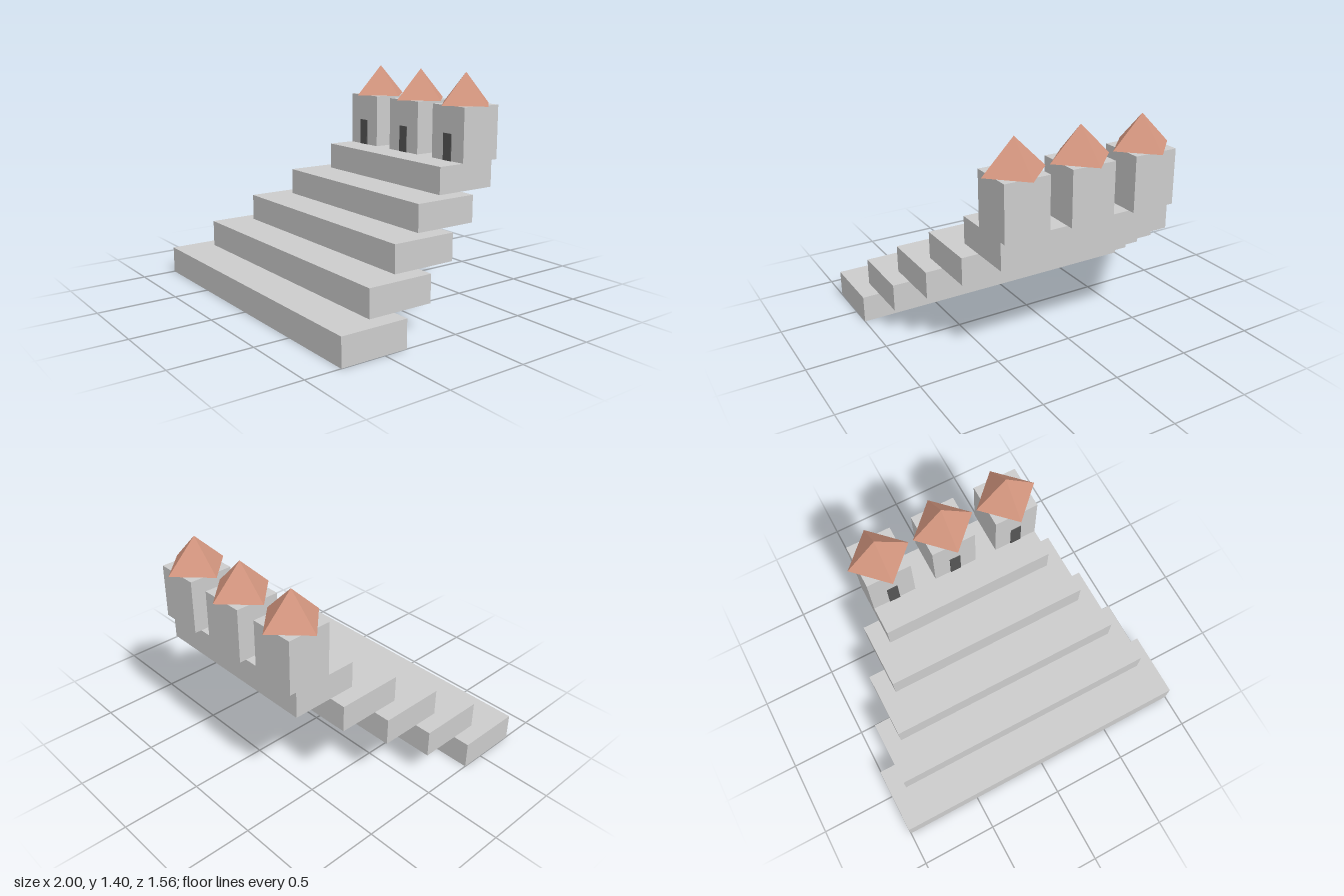
import * as THREE from 'three';

const stone = new THREE.MeshStandardMaterial({ color: 0xcccccc, flatShading: true });
const tile = new THREE.MeshStandardMaterial({ color: 0xd4967f, flatShading: true });
const dark = new THREE.MeshStandardMaterial({ color: 0x555555, flatShading: true });

// Box standing on y, centred on x and z
function box(name, [w, h, d], [x, y, z], material) {
  const mesh = new THREE.Mesh(new THREE.BoxGeometry(w, h, d), material);
  mesh.position.set(x, y + h / 2, z);
  mesh.name = name;
  return mesh;
}

export function createModel() {
  const model = new THREE.Group();
  model.name = 'steppedTemple';

  // Stairway of slabs, narrowing and receding as it rises
  const steps = 5, stepHeight = 0.1715, stepDepth = 0.428;
  for (let i = 0; i < steps; i++) {
    model.add(box(`step${i + 1}`, [2 - i * 0.2143, stepHeight, stepDepth],
      [0, i * stepHeight, 0.565 - i * 0.2571], stone));
  }

  // Row of three towers on the top step
  const floor = steps * stepHeight, side = 0.286, wallHeight = 0.343, roofHeight = 0.2;
  ['right', 'middle', 'left'].forEach((place, i) => {
    const tower = new THREE.Group();
    tower.name = `${place}Tower`;
    tower.position.set((i - 1) * 0.4286, floor, -0.578);
    tower.add(box('walls', [side, wallHeight, side], [0, 0, 0], stone));
    // Thin doorway panel on the front wall
    tower.add(box('doorway', [0.071, 0.171, 0.008], [0, 0, side / 2 + 0.001], dark));
    // Four-sided roof turned so its corners point along x and z
    const roof = new THREE.Mesh(new THREE.ConeGeometry(0.2, roofHeight, 4), tile);
    roof.position.y = wallHeight + roofHeight / 2;
    roof.name = 'roof';
    tower.add(roof);
    model.add(tower);
  });

  return model;
}
